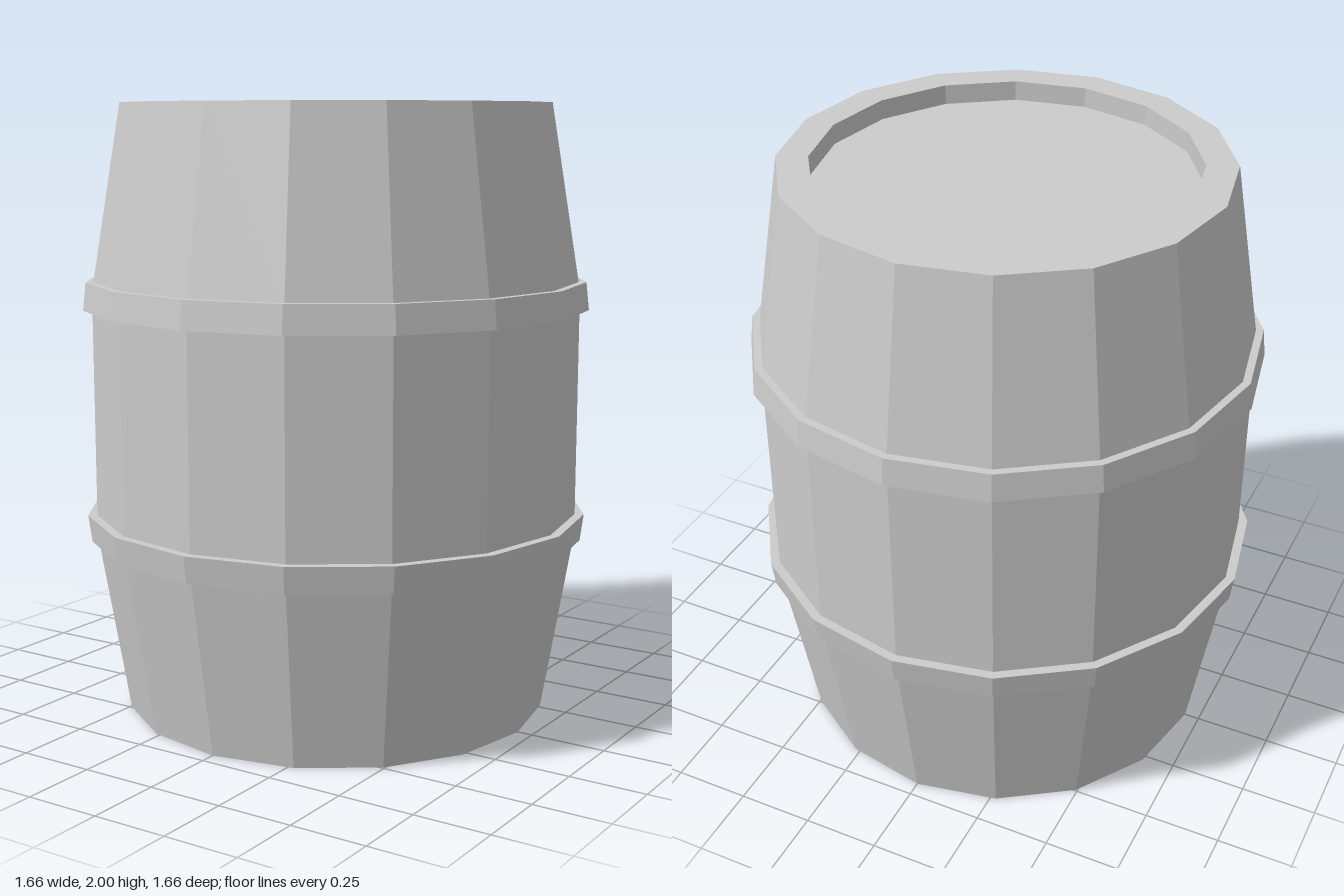
import * as THREE from 'three';

const SIDES = 16;

// Faceted solid of revolution; profile is [radius, y] pairs running bottom to top
function turned(name, profile) {
  const points = profile.map(([r, y]) => new THREE.Vector2(r, y));
  const material = new THREE.MeshStandardMaterial({ color: 0xcccccc, flatShading: true });
  const mesh = new THREE.Mesh(new THREE.LatheGeometry(points, SIDES), material);
  mesh.name = name;
  return mesh;
}

export function createModel() {
  const barrel = new THREE.Group();
  barrel.name = 'barrel';

  // Body: recessed bottom head, rim, bulging staves, rim, recessed top head
  const recess = 0.065;
  barrel.add(turned('body', [
    [0, recess], [0.6, recess], [0.6, 0], [0.7, 0],
    [0.8, 0.6], [0.8, 1.4],
    [0.7, 2], [0.6, 2], [0.6, 2 - recess], [0, 2 - recess],
  ]));

  // Hoops: slightly tapered bands, widest toward the middle of the barrel
  barrel.add(turned('lowerHoop', [
    [0.77, 0.577], [0.818, 0.577], [0.83, 0.665], [0.77, 0.665],
  ]));
  barrel.add(turned('upperHoop', [
    [0.77, 1.34], [0.83, 1.34], [0.82, 1.43], [0.77, 1.43],
  ]));

  return barrel;
}
